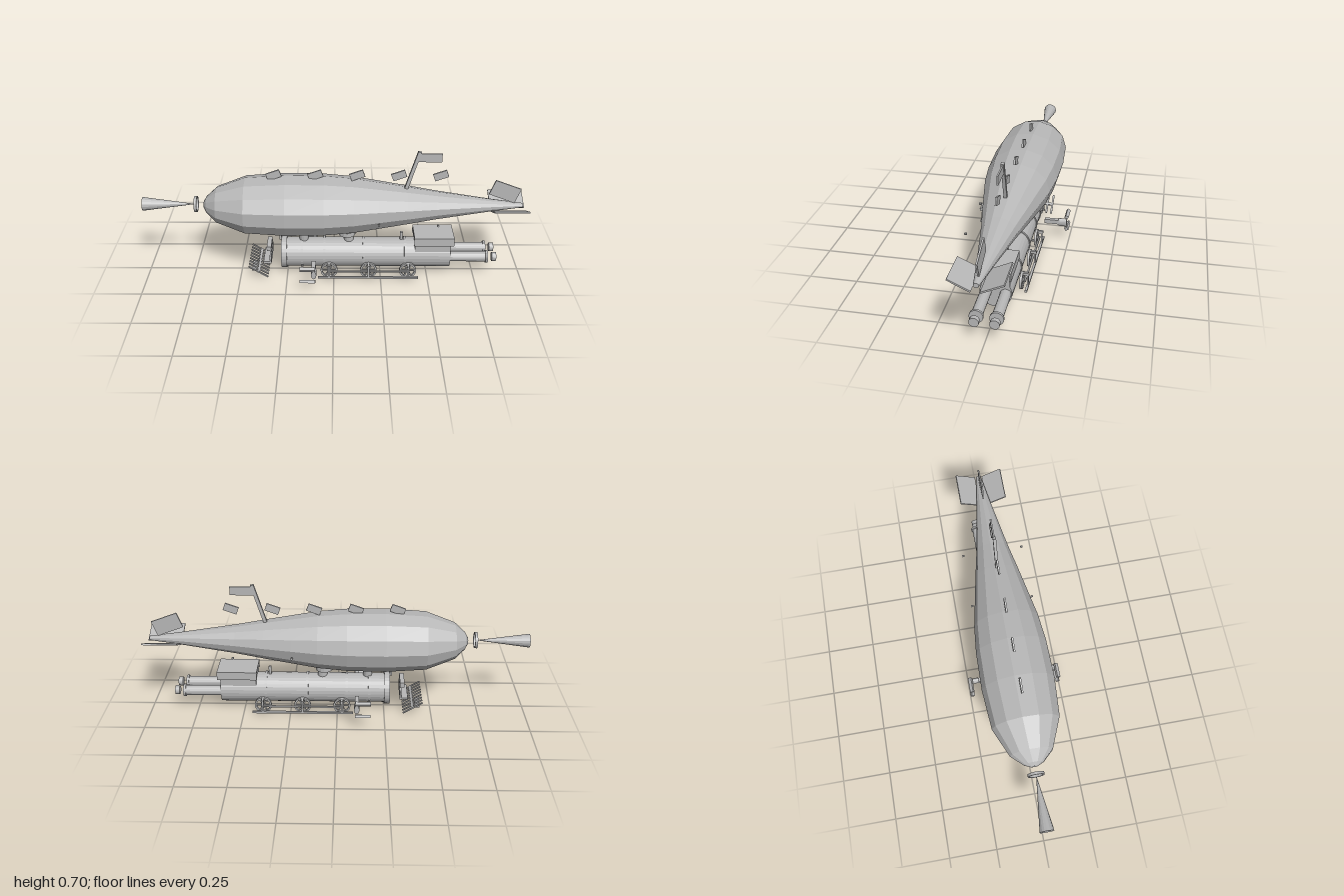
import * as THREE from 'three';

const grey = new THREE.MeshStandardMaterial({ color: 0xb8b8b8, flatShading: true });
grey.name = 'plain grey';

export function createModel() {
  const model = new THREE.Group();
  model.name = 'steamAirship';

  const add = (name, geo, x = 0, y = 0, z = 0, parent = model) => {
    const m = new THREE.Mesh(geo, grey);
    m.name = name;
    m.position.set(x, y, z);
    parent.add(m);
    return m;
  };
  const box = (name, w, h, d, x, y, z, parent) => add(name, new THREE.BoxGeometry(w, h, d), x, y, z, parent);
  // Cylinder along x; r0 at the -x end, r1 at the +x end
  const tubeX = (name, r0, r1, x0, x1, y, z, seg = 24) =>
    add(name, new THREE.CylinderGeometry(r1, r0, x1 - x0, seg).rotateZ(-Math.PI / 2), (x0 + x1) / 2, y, z);
  // Hollow ring lying around the x axis
  const ringX = (name, rOut, rIn, x0, x1, y, z, seg = 20) => {
    const s = new THREE.Shape().absarc(0, 0, rOut, 0, Math.PI * 2);
    s.holes.push(new THREE.Path().absarc(0, 0, rIn, 0, Math.PI * 2, true));
    const g = new THREE.ExtrudeGeometry(s, { depth: x1 - x0, bevelEnabled: false, curveSegments: seg });
    return add(name, g.rotateY(Math.PI / 2), x0, y, z);
  };

  // Thirteen-sided gas envelope, nose towards -x
  const profile = [[0, -0.68], [0.1, -0.68], [0.27, -0.665], [0.58, -0.61], [0.92, -0.46], [1, -0.25], [0.98, -0.05],
    [0.9, 0.1], [0.77, 0.23], [0.62, 0.38], [0.46, 0.53], [0.2, 0.82], [0.07, 0.985], [0, 0.985]]
    .map(([r, x]) => new THREE.Vector2(r, x));
  const hull = new THREE.LatheGeometry(profile, 13, Math.PI).rotateZ(-Math.PI / 2).scale(1, 0.16, 0.19);
  add('gasEnvelope', hull, 0, 0.398, 0);

  // Nose ring and cone
  ringX('noseRing', 0.042, 0.034, -0.728, -0.714, 0.4, 0);
  tubeX('noseCone', 0.036, 0.001, -1, -0.73, 0.4, 0, 16);

  // Tail fins
  box('tailFin', 0.145, 0.085, 0.008, 0.888, 0.478, 0).rotation.z = -0.36;
  for (const s of [-1, 1])
    box('sideFin', 0.18, 0.008, 0.115, 0.91, 0.398, s * 0.073).rotation.x = -s * 0.44;

  // Mast with flag
  box('mast', 0.018, 0.215, 0.016, 0.405, 0.6, 0).rotation.z = -0.29;
  box('flag', 0.12, 0.046, 0.008, 0.49, 0.67, 0);

  // Small pennants along the crown
  for (let i = 0; i < 5; i++)
    box('pennant', 0.074, 0.04, 0.009, -0.31 + i * 0.215, 0.57, 0).rotation.z = 0.35;

  // Boiler, smokebox and bands
  tubeX('boiler', 0.079, 0.079, -0.27, 0.62, 0.112, 0, 28);
  tubeX('smokebox', 0.087, 0.087, -0.28, -0.25, 0.112, 0, 28);
  for (const x of [-0.17, -0.05, 0.16, 0.38])
    tubeX('boilerBand', 0.083, 0.083, x - 0.006, x + 0.006, 0.112, 0, 28);

  // Chimneys and posts between boiler and envelope
  add('chimney', new THREE.CylinderGeometry(0.028, 0.022, 0.07, 16), -0.16, 0.215, 0);
  add('steamDome', new THREE.CylinderGeometry(0.025, 0.025, 0.05, 16), 0.08, 0.2, 0);
  add('domeFlange', new THREE.CylinderGeometry(0.045, 0.045, 0.025, 16), 0.07, 0.235, 0);
  box('frontPost', 0.012, 0.05, 0.016, -0.285, 0.215, 0);
  box('rearPost', 0.014, 0.05, 0.014, 0.36, 0.21, 0);

  // Cabin with roof
  box('cabin', 0.19, 0.12, 0.136, 0.525, 0.165, 0);
  box('cabinRoof', 0.21, 0.01, 0.154, 0.53, 0.231, 0);
  for (const s of [-1, 1]) box('roofSkirt', 0.21, 0.042, 0.009, 0.53, 0.212, s * 0.0725);

  for (const s of [-1, 1]) {
    // Exhaust pipes
    tubeX('exhaustPipe', 0.027, 0.027, 0.6, 0.82, 0.112, s * 0.048, 18);
    tubeX('exhaustFlange', 0.034, 0.034, 0.808, 0.82, 0.112, s * 0.048, 18);
    tubeX('exhaustCap', 0.024, 0.024, 0.842, 0.865, 0.112, s * 0.048, 18);

    // Side outrigger
    box('outriggerArm', 0.022, 0.024, 0.078, -0.105, 0.112, s * 0.156);
    const pod = new THREE.CylinderGeometry(0.023, 0.023, 0.044, 16).rotateX(Math.PI / 2).scale(0.6, 1, 1);
    add('outriggerPod', pod, -0.103, 0.111, s * 0.215);
    box('upperBlade', 0.08, 0.016, 0.018, -0.135, 0.148, s * 0.237).rotation.x = s * 0.5;
    box('lowerBlade', 0.08, 0.016, 0.018, -0.135, 0.074, s * 0.237).rotation.x = -s * 0.5;

    // Spoked wheels
    for (const x of [-0.025, 0.185, 0.395]) {
      const wheel = new THREE.Group();
      wheel.name = 'wheel';
      wheel.position.set(x, 0.046, s * 0.084);
      model.add(wheel);
      const rim = new THREE.Shape().absarc(0, 0, 0.045, 0, Math.PI * 2);
      rim.holes.push(new THREE.Path().absarc(0, 0, 0.036, 0, Math.PI * 2, true));
      add('rim', new THREE.ExtrudeGeometry(rim, { depth: 0.013, bevelEnabled: false, curveSegments: 16 }), 0, 0, -0.0065, wheel);
      add('hub', new THREE.CylinderGeometry(0.01, 0.01, 0.02, 10).rotateX(Math.PI / 2), 0, 0, 0, wheel);
      for (let k = 0; k < 3; k++)
        box('spoke', 0.076, 0.006, 0.007, 0, 0, 0, wheel).rotation.z = k * Math.PI / 3;
      box('axleBracket', 0.012, 0.014, 0.03, x, 0.084, s * 0.106);
      box('rodHanger', 0.01, 0.06, 0.008, x, 0.05, s * 0.113);
    }
    box('sideRail', 0.535, 0.01, 0.012, 0.183, 0.018, s * 0.113);
    box('connectingRod', 0.44, 0.008, 0.008, 0.185, 0.046, s * 0.1);

    // Small lamps beside the envelope
    for (const x of [0.23, 0.53])
      add('sideLamp', new THREE.CylinderGeometry(0.006, 0.006, 0.012, 8).rotateX(Math.PI / 2), x, 0.366, s * 0.161);
  }

  // Sloped front guard with slats and beams
  const guard = new THREE.Group();
  guard.name = 'frontGuard';
  guard.position.set(-0.4, 0.053, 0);
  guard.rotation.z = -0.56;
  model.add(guard);
  for (let i = -4; i <= 4; i++) box('guardSlat', 0.12, 0.006, 0.01, 0, 0, i * 0.0283, guard);
  box('guardBeam', 0.014, 0.008, 0.236, 0, 0, 0, guard);
  box('lowerBeam', 0.026, 0.011, 0.088, -0.43, 0.018, 0);
  box('bufferFoot', 0.04, 0.011, 0.15, -0.355, 0.085, 0);
  box('bufferBack', 0.009, 0.045, 0.15, -0.337, 0.103, 0);
  box('bufferBeam', 0.024, 0.026, 0.11, -0.345, 0.157, 0);

  return model;
}
